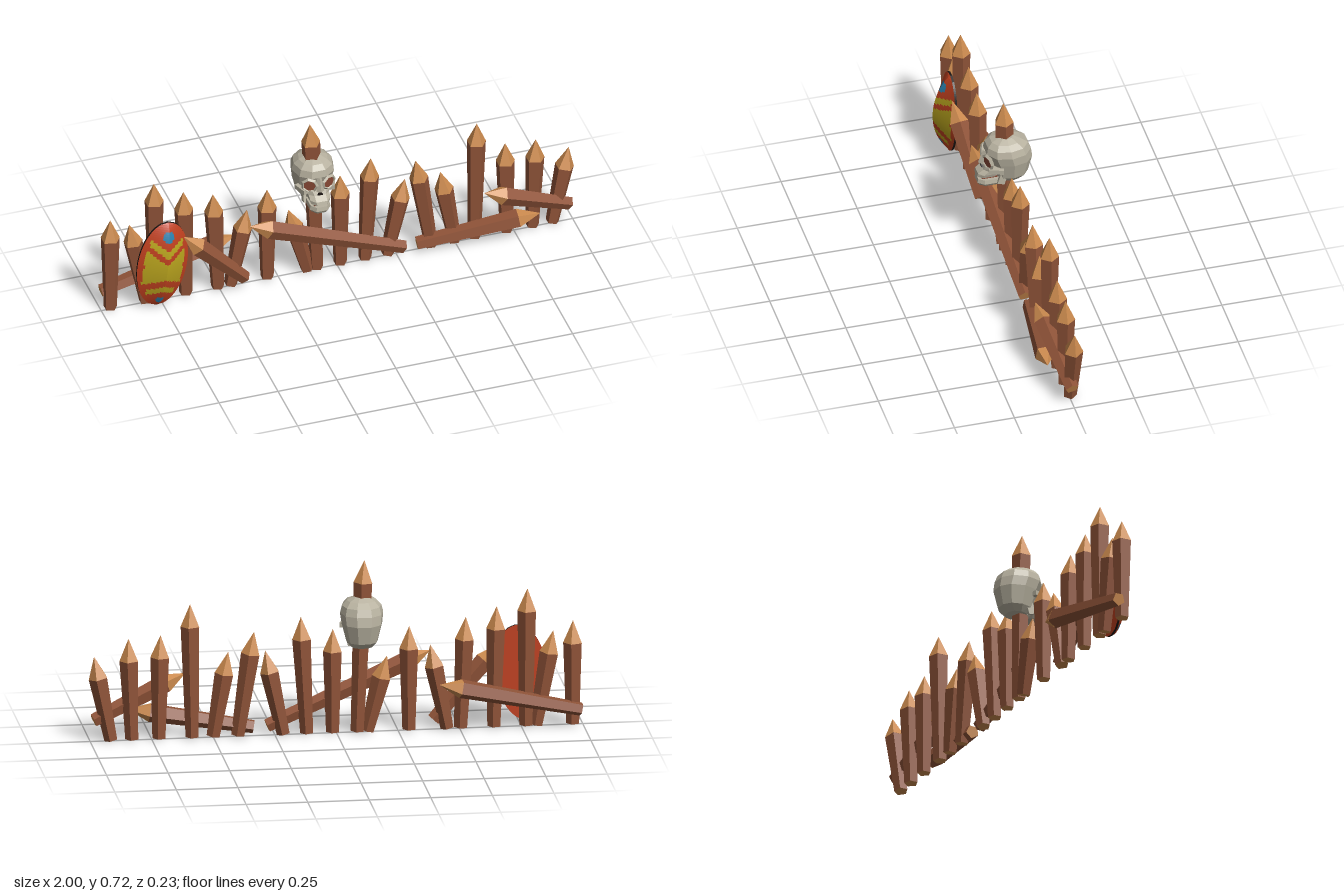
import * as THREE from 'three';

const mat = (name, color, side = THREE.FrontSide) =>
  Object.assign(new THREE.MeshStandardMaterial({ color, flatShading: true, side }), { name });

export function createModel() {
  const wood = mat('stakeWood', 0x8f5338);
  const cut = mat('cutWood', 0xcb8a4e);
  const bone = mat('bone', 0xb8b2a0);
  const socket = mat('socketBrown', 0x8a4a36);
  const red = mat('shieldRed', 0xc0401f, THREE.DoubleSide);
  const yellow = mat('shieldYellow', 0xbba51e, THREE.DoubleSide);
  const blue = mat('shieldBlue', 0x2b80ad, THREE.DoubleSide);
  const dark = mat('darkRim', 0x1c1512, THREE.DoubleSide);

  const model = new THREE.Group();
  model.name = 'palisade';
  const add = (parent, name, geo, material, x = 0, y = 0, z = 0) => {
    const m = new THREE.Mesh(geo, material);
    m.name = name;
    m.position.set(x, y, z);
    parent.add(m);
    return m;
  };

  // Five-sided sharpened pole running from its butt to its point
  const UP = new THREE.Vector3(0, 1, 0);
  const pole = (name, from, to) => {
    const a = new THREE.Vector3(...from), d = new THREE.Vector3(...to).sub(a);
    const tip = 0.092, len = d.length() - tip;
    const g = new THREE.Group();
    g.name = name;
    const shaft = new THREE.CylinderGeometry(0.04, 0.028, len, 5).rotateY(Math.PI / 2);
    add(g, 'shaft', shaft, [wood, cut, cut], 0, len / 2, 0);
    const point = new THREE.ConeGeometry(0.0405, tip, 5).rotateY(Math.PI / 2);
    add(g, 'point', point, cut, 0, len + tip / 2, 0);
    g.position.copy(a);
    g.quaternion.setFromUnitVectors(UP, d.normalize());
    model.add(g);
  };

  // Upright stakes: foot x, tip x, tip y
  [
    [-0.96, -0.96, 0.43], [-0.81, -0.88, 0.39], [-0.77, -0.775, 0.57], [-0.64, -0.65, 0.5],
    [-0.505, -0.525, 0.46], [-0.45, -0.38, 0.35], [-0.295, -0.295, 0.43], [-0.125, -0.205, 0.31],
    [-0.085, -0.113, 0.713], [0.015, 0.015, 0.43], [0.12, 0.145, 0.485], [0.215, 0.29, 0.35],
    [0.40, 0.335, 0.43], [0.50, 0.44, 0.35], [0.585, 0.595, 0.555], [0.72, 0.715, 0.43],
    [0.83, 0.845, 0.42], [0.915, 0.985, 0.35],
  ].forEach(([fx, tx, ty]) => pole('stake', [fx, 0, -0.004], [tx, ty, -0.005]));

  // Fallen logs leaning across the fence
  pole('rearLog', [-0.99, 0.065, -0.035], [-0.41, 0.195, -0.06]);
  pole('frontLog', [-0.395, 0.03, 0.012], [-0.67, 0.325, 0.058]);
  pole('frontLog', [0.28, 0.03, 0.012], [-0.39, 0.31, 0.055]);
  pole('frontLog', [0.335, 0.03, 0.01], [0.84, 0.105, 0.068]);
  pole('frontLog', [0.985, 0.08, 0.005], [0.605, 0.25, 0.058]);

  // Keeled oval shield, painted cell by cell
  const shield = new THREE.Group();
  shield.name = 'shield';
  shield.position.set(-0.757, 0.207, 0);
  shield.rotation.z = -0.13;
  model.add(shield);
  const H = 0.2, W = 0.106, RIM = 0.05;
  const bulge = v => Math.max(0, 1 - v * v);
  const front = (u, v) => [u * W * Math.sqrt(bulge(v)), v * H, RIM + 0.066 * (1 - Math.abs(u)) * bulge(v) ** 0.8];
  const paint = (x, y) => {
    const a = x / W, b = y / H, s = Math.abs(a);
    if (Math.hypot(a, (b - 0.73) * 1.9) < 0.22 || Math.hypot(a, (b + 0.78) * 1.9) < 0.17) return 'blue';
    if (s < 0.66 && Math.abs(b - 0.36 - 0.3 * s) < 0.08) return 'yellow';
    if (s < 0.78 && b < 0.14 + 0.32 * s && b > -0.22 - 0.3 * s) return 'yellow';
    if (s < 0.55 && Math.abs(b + 0.46 + 0.32 * s) < 0.075) return 'yellow';
    return 'red';
  };
  const cells = { red: [], yellow: [], blue: [] };
  const back = [], rim = [];
  const quad = (list, a, b, c, d) => list.push(...a, ...b, ...c, ...a, ...c, ...d);
  const NU = 32, NV = 48;
  for (let j = 0; j < NV; j++) {
    const v0 = -1 + 2 * j / NV, v1 = -1 + 2 * (j + 1) / NV;
    for (let i = 0; i < NU; i++) {
      const u0 = -1 + 2 * i / NU, u1 = -1 + 2 * (i + 1) / NU;
      const [x, y] = front((u0 + u1) / 2, (v0 + v1) / 2);
      quad(cells[paint(x, y)], front(u0, v0), front(u1, v0), front(u1, v1), front(u0, v1));
    }
    // Flat back and dark edge band
    const flat = (u, v) => { const p = front(u, v); p[2] = RIM - 0.009; return p; };
    quad(back, flat(1, v0), flat(-1, v0), flat(-1, v1), flat(1, v1));
    for (const s of [-1, 1]) quad(rim, front(s, v0), flat(s, v0), flat(s, v1), front(s, v1));
  }
  const surface = list => {
    const g = new THREE.BufferGeometry();
    g.setAttribute('position', new THREE.Float32BufferAttribute(list, 3));
    g.computeVertexNormals();
    return g;
  };
  add(shield, 'shieldField', surface(cells.red), red);
  add(shield, 'shieldPattern', surface(cells.yellow), yellow);
  add(shield, 'shieldSpots', surface(cells.blue), blue);
  add(shield, 'shieldBack', surface(back), red);
  add(shield, 'shieldEdge', surface(rim), dark);

  // Loft of oval rings: [y, half width, front z, back z]
  const loft = (rows, sides, power) => {
    const ring = ([y, w, f, b]) => Array.from({ length: sides }, (_, i) => {
      const t = (i + 0.5) / sides * Math.PI * 2, c = Math.cos(t), s = Math.sin(t);
      const sq = k => Math.sign(k) * Math.abs(k) ** power;
      return [w * sq(s), y, (f + b) / 2 + (f - b) / 2 * sq(c)];
    });
    const rings = rows.map(ring), out = [];
    for (let j = 0; j + 1 < rings.length; j++)
      for (let i = 0; i < sides; i++) {
        const k = (i + 1) % sides;
        quad(out, rings[j][i], rings[j][k], rings[j + 1][k], rings[j + 1][i]);
      }
    const cap = (r, [y, , f, b], up) => r.forEach((p, i) => {
      const q = r[(i + 1) % sides], c = [0, y, (f + b) / 2];
      out.push(...c, ...(up ? p : q), ...(up ? q : p));
    });
    cap(rings[0], rows[0], false);
    cap(rings.at(-1), rows.at(-1), true);
    return surface(out);
  };

  // Skull spiked on the tallest stake
  const skull = new THREE.Group();
  skull.name = 'skull';
  skull.position.x = -0.1;
  model.add(skull);
  add(skull, 'cranium', loft([
    [0.36, 0.045, 0.02, -0.07], [0.385, 0.064, 0.04, -0.1], [0.46, 0.083, 0.064, -0.118],
    [0.5, 0.088, 0.08, -0.112], [0.53, 0.08, 0.074, -0.1], [0.55, 0.06, 0.055, -0.07], [0.563, 0.032, 0.02, -0.04],
  ], 10, 0.9), bone);
  add(skull, 'upperJaw', loft([
    [0.39, 0.04, 0.117, 0.02], [0.405, 0.045, 0.113, 0.02], [0.422, 0.046, 0.09, 0.01], [0.445, 0.06, 0.078, 0],
  ], 8, 0.7), bone);
  add(skull, 'lowerJaw', loft([
    [0.346, 0.036, 0.107, 0.005], [0.36, 0.046, 0.116, 0], [0.378, 0.043, 0.113, 0],
  ], 8, 0.7), bone);
  add(skull, 'mouthGap', new THREE.BoxGeometry(0.055, 0.016, 0.07), socket, 0, 0.384, 0.06);
  const nose = add(skull, 'noseBridge', new THREE.CylinderGeometry(0.009, 0.017, 0.06, 4), bone, 0, 0.472, 0.082);
  nose.rotation.x = -0.2;
  const hole = add(skull, 'noseHole', new THREE.CylinderGeometry(0.013, 0.013, 0.008, 3), dark, 0, 0.432, 0.089);
  hole.rotation.set(Math.PI / 2, Math.PI, 0);
  for (const s of [-1, 1]) {
    // Eye socket with its bony rim
    const eye = new THREE.Group();
    eye.name = 'eyeSocket';
    eye.position.set(s * 0.04, 0.47, 0.073);
    eye.rotation.set(0.08, s * 0.4, 0);
    skull.add(eye);
    add(eye, 'eyeHollow', new THREE.CylinderGeometry(0.026, 0.026, 0.008, 7).rotateX(Math.PI / 2), socket);
    add(eye, 'eyeRim', new THREE.TorusGeometry(0.029, 0.008, 4, 7), bone);
    const cheek = add(skull, 'cheekbone', new THREE.BoxGeometry(0.02, 0.02, 0.06), bone, s * 0.066, 0.438, 0.045);
    cheek.rotation.y = -s * 0.35;
    const hinge = add(skull, 'jawHinge', new THREE.BoxGeometry(0.012, 0.07, 0.03), bone, s * 0.046, 0.39, 0.012);
    hinge.rotation.x = -0.3;
  }
  return model;
}
